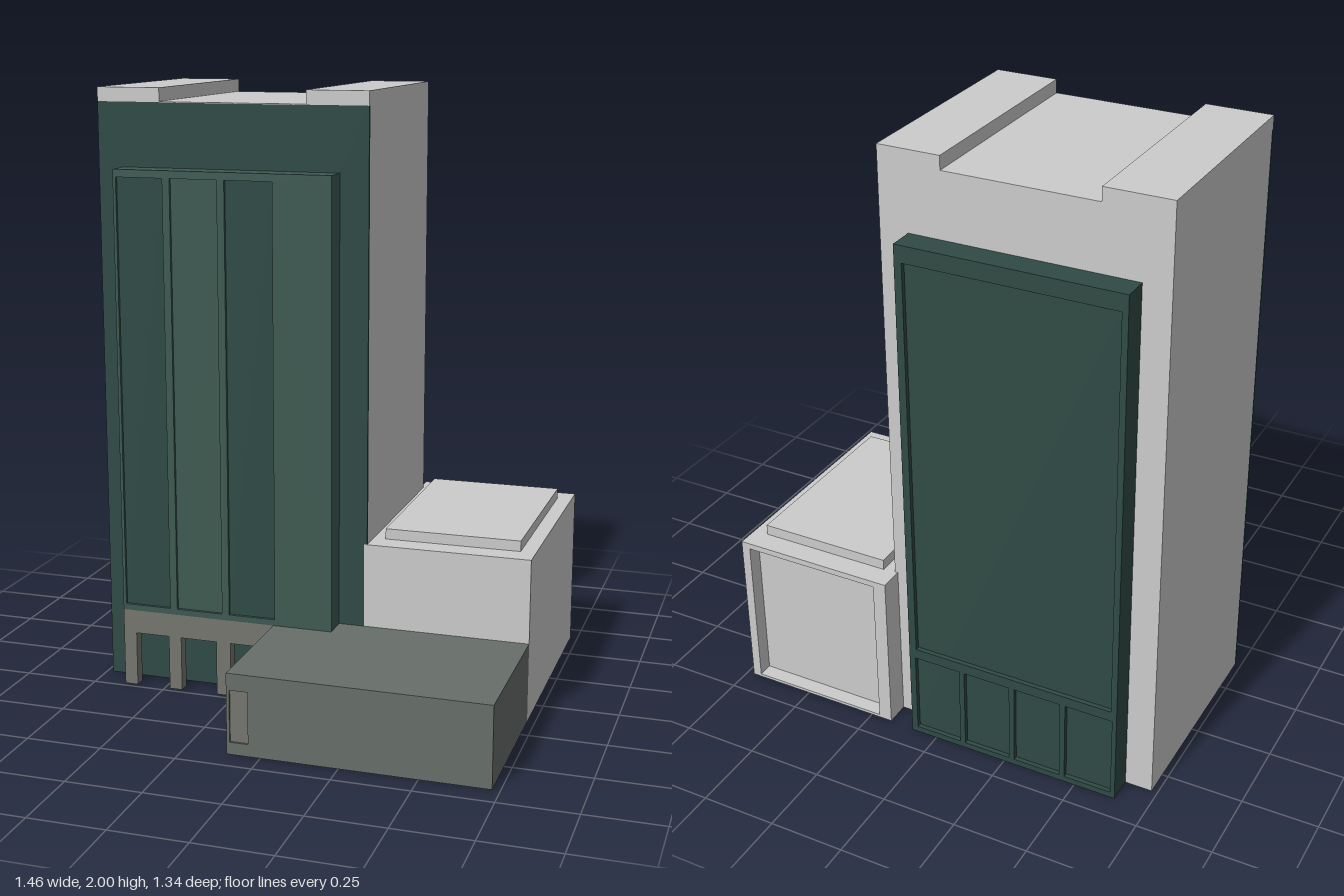
import * as THREE from 'three';

const mat = (color) => new THREE.MeshStandardMaterial({ color });
const grey = mat(0xcccccc);
const darkGreen = mat(0x2f4a45);
const green = mat(0x3e5a52);
const slate = mat(0x676e69);
const stone = mat(0x75766f);

export function createModel() {
  const group = new THREE.Group();

  const add = (name, geometry, material) => {
    const mesh = new THREE.Mesh(geometry, material);
    mesh.name = name;
    group.add(mesh);
    return mesh;
  };

  // Box given by its limits on each axis
  const box = (name, material, [x0, x1], [y0, y1], [z0, z1]) => {
    const mesh = add(name, new THREE.BoxGeometry(x1 - x0, y1 - y0, z1 - z0), material);
    mesh.position.set((x0 + x1) / 2, (y0 + y1) / 2, (z0 + z1) / 2);
    return mesh;
  };

  const corners = (x0, x1, y0, y1) =>
    [[x0, y0], [x1, y0], [x1, y1], [x0, y1]].map(([x, y]) => new THREE.Vector2(x, y));

  // Flat frame with rectangular openings [x0, x1, y0, y1]
  const frame = (name, material, outer, openings, z0, z1) => {
    const shape = new THREE.Shape(corners(...outer));
    for (const o of openings) shape.holes.push(new THREE.Path(corners(...o).reverse()));
    const geometry = new THREE.ExtrudeGeometry(shape, { depth: z1 - z0, bevelEnabled: false });
    add(name, geometry, material).position.z = z0;
  };

  // Tower with a green front skin and two raised roof strips
  box('tower', grey, [-0.73, 0.185], [0, 1.955], [-0.585, 0.135]);
  box('towerFront', darkGreen, [-0.73, 0.185], [0, 1.954], [0.135, 0.145]);
  box('roofStripRight', grey, [-0.73, -0.515], [1.954, 2], [-0.585, 0.145]);
  box('roofStripLeft', grey, [-0.02, 0.185], [1.954, 2], [-0.585, 0.145]);
  box('roofDeck', grey, [-0.515, -0.02], [1.953, 1.956], [-0.585, 0.145]);

  // Front bay with recessed tall window strips
  const strips = [-0.635, -0.45, -0.265].map((x) => [x, x + 0.16, 0.285, 1.72]);
  box('frontBay', green, [-0.645, 0.09], [0.265, 1.745], [0.145, 0.21]);
  frame('frontBayFrame', green, [-0.645, 0.09, 0.265, 1.745], strips, 0.21, 0.23);
  strips.forEach(([x0, x1, y0, y1], i) =>
    box('windowStrip', i === 1 ? green : darkGreen, [x0, x1], [y0, y1], [0.205, 0.22]));

  // Entrance arcade: lintel on four piers
  box('arcadeLintel', stone, [-0.645, -0.11], [0.185, 0.265], [0.19, 0.23]);
  for (const [x0, x1] of [[-0.645, -0.6], [-0.482, -0.438], [-0.312, -0.262], [-0.147, -0.11]]) {
    box('arcadePier', stone, [x0, x1], [0, 0.185], [0.19, 0.23]);
  }

  // Rear bay: one large recessed panel over four small ones
  const rearPanels = [[-0.62, 0.065, 0.335, 1.69]];
  for (let i = 0; i < 4; i++) {
    const x = -0.625 + i * 0.178;
    rearPanels.push([x, x + 0.16, 0.02, 0.3]);
  }
  box('rearBay', darkGreen, [-0.64, 0.09], [0, 1.745], [-0.655, -0.585]);
  frame('rearBayFrame', darkGreen, [-0.64, 0.09, 0, 1.745], rearPanels, -0.67, -0.655);

  // Low front block with a shallow door recess
  box('frontBlock', slate, [-0.11, 0.725], [0, 0.265], [0.145, 0.66]);
  frame('frontBlockFace', slate, [-0.11, 0.725, 0, 0.265], [[-0.1, -0.04, 0.04, 0.21]], 0.66, 0.67);
  box('door', stone, [-0.1, -0.04], [0.04, 0.21], [0.65, 0.663]);

  // Side annex with roof slab and recessed rear panel
  box('annex', grey, [0.175, 0.725], [0, 0.545], [-0.615, 0.145]);
  frame('annexRearFrame', grey, [0.175, 0.725, 0, 0.545], [[0.22, 0.695, 0.01, 0.525]], -0.665, -0.615);
  box('annexRoofSlab', grey, [0.225, 0.675], [0.545, 0.58], [-0.59, 0.065]);

  return group;
}
